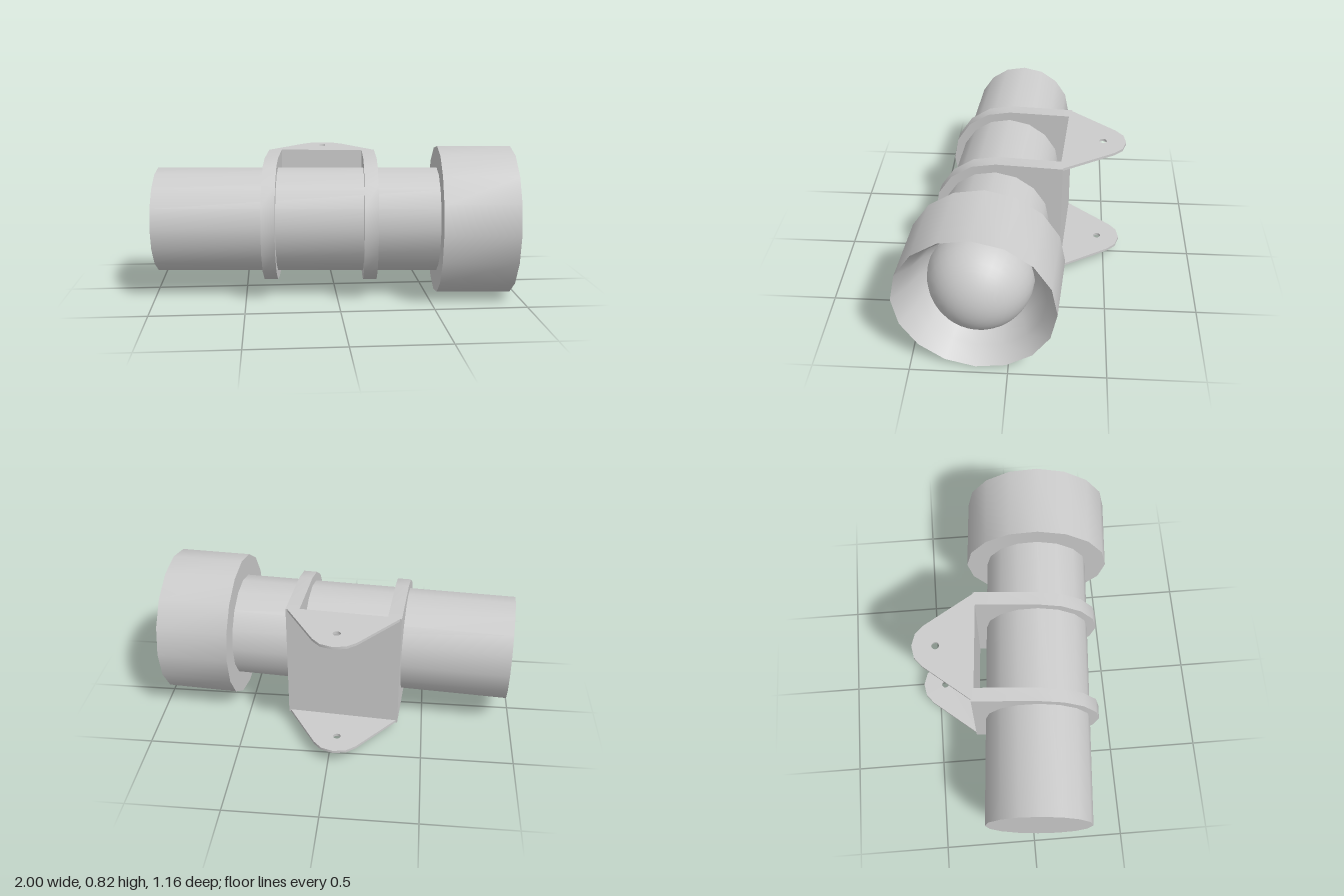
import * as THREE from 'three';
import { toCreasedNormals } from 'three/addons/utils/BufferGeometryUtils.js';

const SIDES = 16;
const material = new THREE.MeshStandardMaterial({ color: 0xcccccc });

function part(parent, name, geometry) {
  const mesh = new THREE.Mesh(geometry, material);
  mesh.name = name;
  parent.add(mesh);
  return mesh;
}

// Turned part along the x axis from [x, radius] points
function turned(profile) {
  const points = profile.map(([x, r]) => new THREE.Vector2(r, x));
  const geometry = new THREE.LatheGeometry(points, SIDES).rotateZ(-Math.PI / 2);
  return toCreasedNormals(geometry, 0.5);
}

function circlePath(x, y, r, sides) {
  const path = new THREE.Path();
  for (let i = 0; i <= sides; i++) {
    const a = -i / sides * Math.PI * 2;
    const px = x + r * Math.cos(a), py = y + r * Math.sin(a);
    if (i) path.lineTo(px, py); else path.moveTo(px, py);
  }
  return path;
}

export function createModel() {
  const model = new THREE.Group();
  model.name = 'spotlight';
  const lamp = new THREE.Group();
  lamp.name = 'lamp';
  lamp.position.set(0, 0.41, 0.094);
  lamp.rotation.y = -0.075;
  model.add(lamp);

  // Barrel and flared head
  part(lamp, 'barrel', turned([[-0.98, 0], [-0.98, 0.29], [0.6, 0.29]]));
  part(lamp, 'head', turned([
    [0.562, 0], [0.562, 0.41], [0.963, 0.41],
    [0.87, 0.352], [0.77, 0.312], [0.73, 0.275], [0.72, 0],
  ]));

  // Domed lens
  const lens = part(lamp, 'lens', new THREE.SphereGeometry(0.272, 32, 20).rotateZ(-Math.PI / 2));
  lens.position.x = 0.727;

  const bracket = new THREE.Group();
  bracket.name = 'bracket';
  lamp.add(bracket);

  // Two U-shaped clamps around the barrel
  const R = 0.34;
  const clampShape = new THREE.Shape();
  clampShape.moveTo(0.35, R);
  for (let i = 0; i <= SIDES / 2; i++) {
    const a = Math.PI / 2 + i / SIDES * Math.PI * 2;
    clampShape.lineTo(R * Math.cos(a), R * Math.sin(a));
  }
  clampShape.lineTo(0.35, -R);
  clampShape.closePath();
  clampShape.holes.push(circlePath(0, 0, 0.287, SIDES));
  const clampGeometry = toCreasedNormals(
    new THREE.ExtrudeGeometry(clampShape, { depth: 0.074, bevelEnabled: false }).rotateY(Math.PI / 2), 0.5);
  for (const [name, x] of [['rearClamp', -0.39], ['frontClamp', 0.156]]) {
    part(bracket, name, clampGeometry).position.x = x;
  }

  // Plate joining the clamps
  const plate = part(bracket, 'mountingPlate', new THREE.BoxGeometry(0.62, 2 * R, 0.014));
  plate.position.set(-0.08, 0, -0.35);

  // Top and bottom tabs, rounded at the end, each with a bolt hole
  const tabShape = new THREE.Shape([
    [-0.31, 0.343], [0.31, 0.343], [0.115, 0.618], [0.068, 0.661],
    [0, 0.678], [-0.068, 0.661], [-0.115, 0.618],
  ].map(([x, y]) => new THREE.Vector2(x, y)));
  tabShape.holes.push(circlePath(0, 0.551, 0.021, 12));
  const tabGeometry = toCreasedNormals(
    new THREE.ExtrudeGeometry(tabShape, { depth: 0.015, bevelEnabled: false }).rotateX(-Math.PI / 2), 0.6);
  for (const [name, y] of [['topTab', R - 0.015], ['bottomTab', -R]]) {
    part(bracket, name, tabGeometry).position.set(-0.08, y, 0);
  }

  return model;
}
